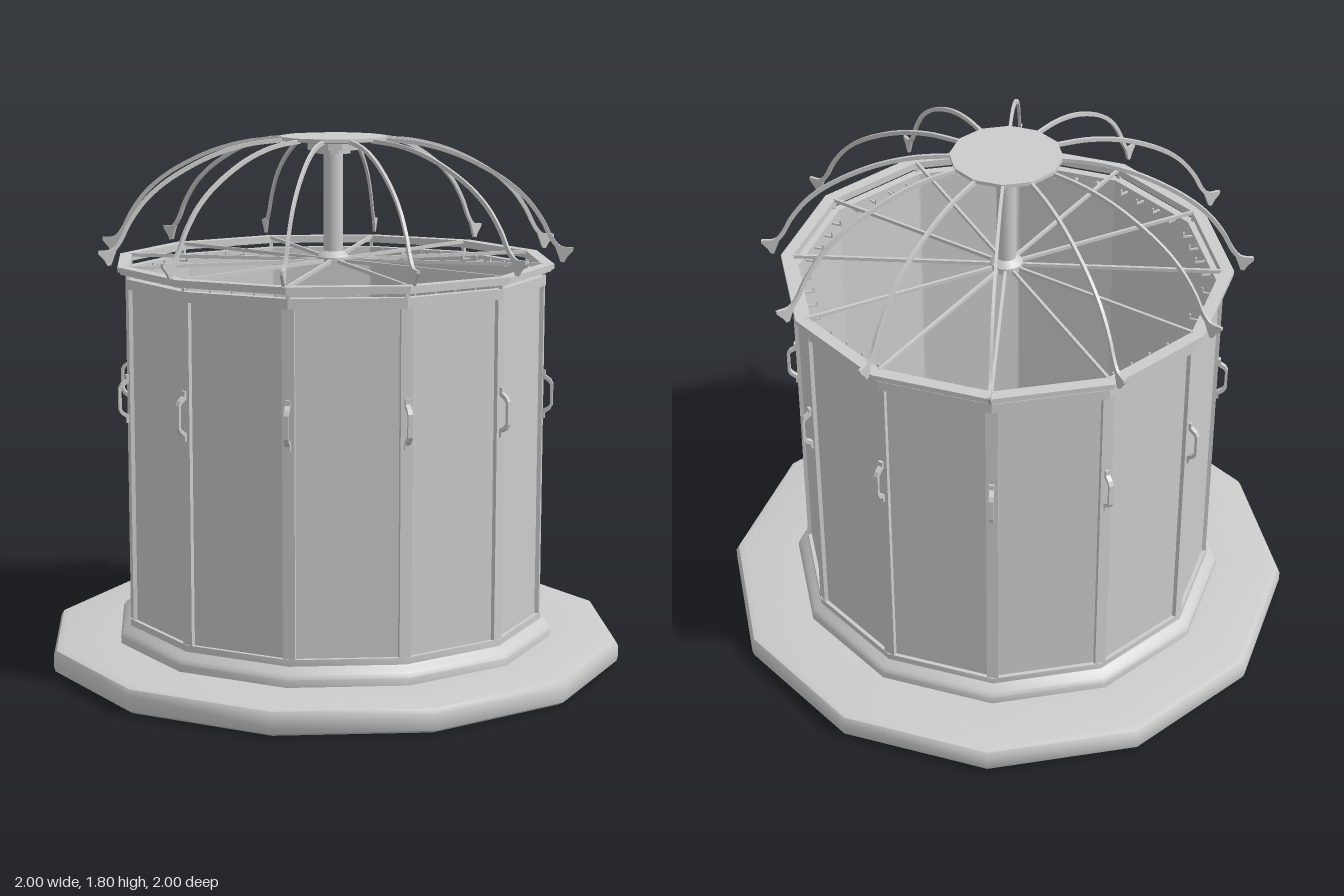
import * as THREE from 'three';
import { toCreasedNormals } from 'three/addons/utils/BufferGeometryUtils.js';

const SIDES = 12;
const STEP = (Math.PI * 2) / SIDES;
const material = new THREE.MeshStandardMaterial({ color: 0xcccccc });
const v2 = ([x, y]) => new THREE.Vector2(x, y);

// Twelve-sided ring or disc from a closed (radius, height) profile
function ring(profile, crease = 0.4) {
  const geometry = new THREE.LatheGeometry([...profile, profile[0]].map(v2), SIDES);
  return toCreasedNormals(geometry, crease);
}

// Plain rectangular ring
const band = (inner, outer, y0, y1) => ring([[inner, y0], [outer, y0], [outer, y1], [inner, y1]]);

// Box with its centre at (radius, height) on the x axis
const block = (depth, height, width, r, y, z = 0) =>
  new THREE.BoxGeometry(depth, height, width).translate(r, y, z);

// Thin plate lying in a radial plane
function plate(outline, thickness) {
  const geometry = new THREE.ExtrudeGeometry(new THREE.Shape(outline), {
    depth: thickness, bevelEnabled: false, curveSegments: 6,
  });
  return geometry.translate(0, 0, -thickness / 2);
}

// Outline of a strip that follows a curve
function strip(curve, halfWidth, count) {
  const outer = [], inner = [];
  for (let i = 0; i <= count; i++) {
    const p = curve.getPoint(i / count);
    const t = curve.getTangent(i / count);
    const n = new THREE.Vector2(-t.y, t.x).multiplyScalar(halfWidth);
    outer.push(p.clone().add(n));
    inner.unshift(p.clone().sub(n));
  }
  return [...outer, ...inner];
}

export function createModel() {
  const model = new THREE.Group();

  const add = (name, geometry, parent = model) => {
    const mesh = new THREE.Mesh(geometry, material);
    mesh.name = name;
    parent.add(mesh);
    return mesh;
  };

  // Repeats a part around the axis; offset 0.5 puts it mid-face
  const around = (name, geometry, offset = 0) => {
    const group = new THREE.Group();
    group.name = name + 's';
    for (let i = 0; i < SIDES; i++) {
      add(name, geometry, group).rotation.y = (i + offset) * STEP;
    }
    model.add(group);
  };

  // Wide base ring with softened rim
  add('base', ring([
    [0.7, 0], [0.975, 0], [0.995, 0.012], [1, 0.03], [1, 0.065],
    [0.99, 0.083], [0.965, 0.09], [0.7, 0.09],
  ], 0.75));

  // Stepped skirting
  add('skirting', ring([
    [0.7, 0.085], [0.765, 0.085], [0.765, 0.115], [0.755, 0.13],
    [0.738, 0.142], [0.73, 0.15], [0.73, 0.172], [0.7, 0.172],
  ], 0.6));

  // Walls: corner posts, flat panels and top band
  around('cornerPost', block(0.026, 1.16, 0.04, 0.712, 0.74));
  around('wallPanel', block(0.016, 1.16, 0.366, 0.684, 0.74), 0.5);
  add('topBand', band(0.7, 0.73, 1.308, 1.342));

  // Upper ring, held just above the walls
  add('upperRing', ring([
    [0.715, 1.357], [0.748, 1.357], [0.748, 1.365], [0.757, 1.365],
    [0.757, 1.382], [0.715, 1.382],
  ]));
  around('ringPeg', block(0.012, 0.04, 0.012, 0.722, 1.35));

  // Handles on the corner posts
  around('handle', plate([
    [0.722, 0.855], [0.734, 0.855], [0.734, 0.872], [0.752, 0.885], [0.76, 0.9],
    [0.76, 0.975], [0.752, 0.99], [0.734, 1.003], [0.734, 1.02], [0.722, 1.02],
    [0.722, 0.995], [0.745, 0.98], [0.751, 0.97], [0.751, 0.905], [0.745, 0.895],
    [0.722, 0.88],
  ].map(v2), 0.016));

  // Small hooks inside the top of the walls
  for (const z of [-0.12, -0.04, 0.04, 0.12]) {
    around('hook', block(0.035, 0.006, 0.006, 0.66, 1.325, z), 0.5);
    around('hookTip', block(0.006, 0.022, 0.006, 0.645, 1.333, z), 0.5);
  }

  // Fixings inside the bottom of the walls
  around('fixingDisc',
    new THREE.CylinderGeometry(0.018, 0.018, 0.012, 12).rotateZ(Math.PI / 2).translate(0.698, 0.13, 0));
  for (const z of [-0.09, 0.09]) {
    around('fixingPlate', block(0.008, 0.02, 0.03, 0.675, 0.13, z), 0.5);
  }

  // Spokes from the centre to the upper ring
  around('spoke', block(0.7, 0.012, 0.01, 0.37, 1.378));

  // Centre pole with collar
  add('pole', new THREE.CylinderGeometry(0.033, 0.033, 0.41, 16).translate(0, 1.575, 0));
  add('collar', toCreasedNormals(new THREE.LatheGeometry([
    [0, 1.37], [0.055, 1.37], [0.055, 1.39], [0.04, 1.405], [0.033, 1.41],
  ].map(v2), 16), 0.6));

  // Crown disc with stepped underside
  add('crown', ring([
    [0, 1.742], [0.06, 1.742], [0.06, 1.755], [0.09, 1.755], [0.09, 1.778],
    [0.185, 1.788], [0.185, 1.8], [0, 1.8],
  ]));

  // Curved roof ribs with flared feet
  const ribCurve = new THREE.SplineCurve([
    [0.17, 1.79], [0.3, 1.778], [0.43, 1.742], [0.56, 1.678], [0.65, 1.61],
    [0.71, 1.535], [0.745, 1.47], [0.775, 1.437], [0.815, 1.432],
  ].map(v2));
  around('roofRib', plate(strip(ribCurve, 0.007, 36), 0.01));
  around('ribFoot', plate([
    [0.757, 1.445], [0.778, 1.39], [0.79, 1.388], [0.799, 1.405], [0.82, 1.428], [0.82, 1.438], [0.785, 1.437],
  ].map(v2), 0.01));

  return model;
}
